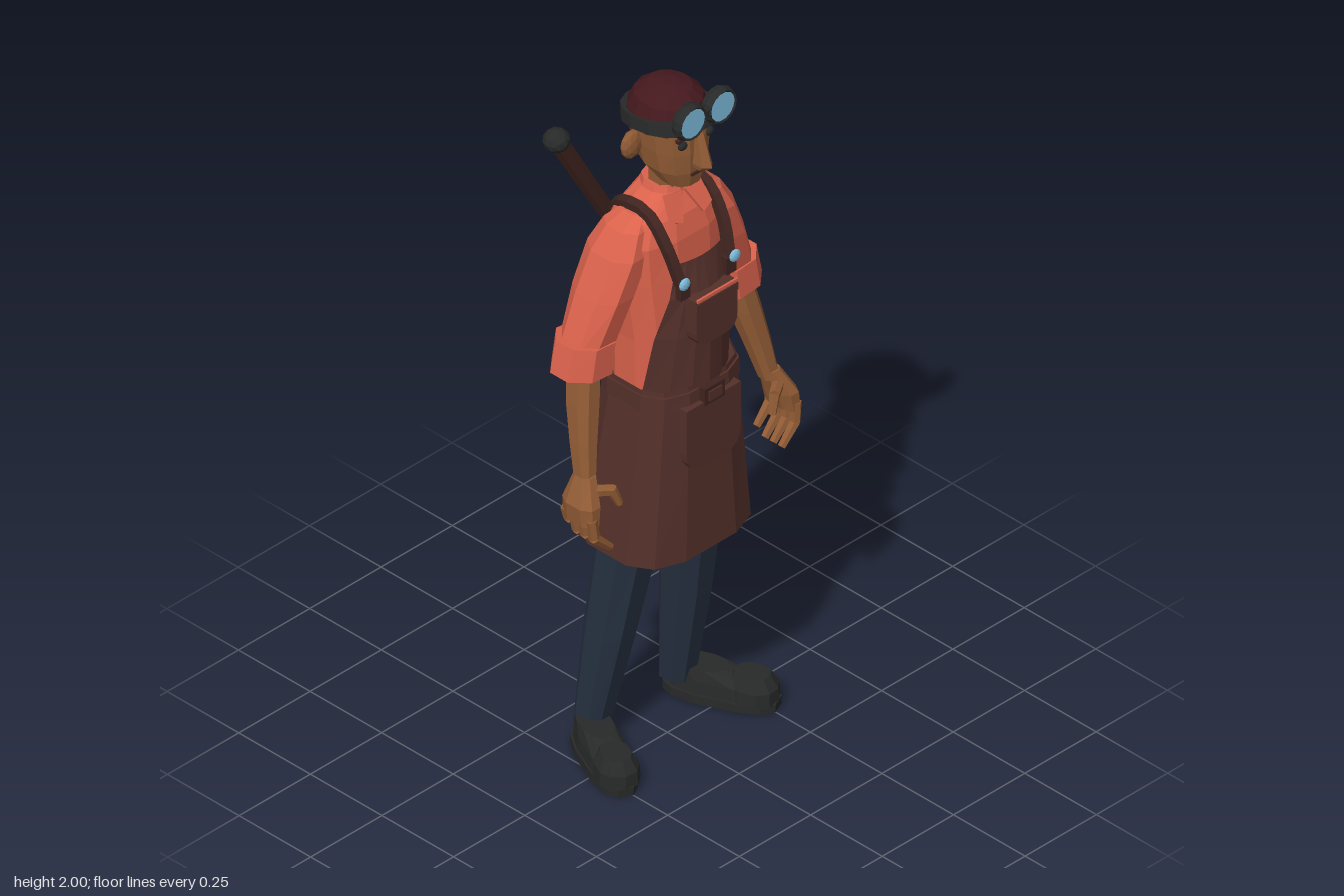
import * as THREE from 'three';

const mat = (name, color, side = THREE.FrontSide) => {
  const m = new THREE.MeshStandardMaterial({ color, side, flatShading: true });
  m.name = name;
  return m;
};

export function createModel() {
  const root = new THREE.Group();
  root.name = 'workman';
  const skin = mat('skin', 0x8f5a34);
  const shirt = mat('shirt coral', 0xda624c);
  const apron = mat('apron brown', 0x54302a, THREE.DoubleSide);
  const strapMat = mat('strap brown', 0x3f231f);
  const capMat = mat('cap maroon', 0x45191e);
  const black = mat('rubber black', 0x282929);
  const denim = mat('trouser navy', 0x263040);
  const glass = mat('glass blue', 0x7cbcdb);

  const add = (name, geo, material, parent = root) => {
    const m = new THREE.Mesh(geo, material);
    m.name = name;
    parent.add(m);
    return m;
  };
  const V = (x, y, z) => new THREE.Vector3(x, y, z);

  // Rings, lowest first: [y, centre x, centre z, half width, half depth]
  const loft = (rings, n = 10, pow = 0.85, caps = true) => {
    const pos = [], idx = [];
    const bend = (v) => Math.sign(v) * Math.pow(Math.abs(v), pow);
    for (const [y, cx, cz, rx, rz] of rings)
      for (let j = 0; j < n; j++) {
        const a = ((j + 0.5) / n) * Math.PI * 2;
        pos.push(cx + rx * bend(Math.cos(a)), y, cz + rz * bend(Math.sin(a)));
      }
    for (let i = 0; i < rings.length - 1; i++)
      for (let j = 0; j < n; j++) {
        const a = i * n + j, b = i * n + ((j + 1) % n);
        idx.push(a, a + n, b, b, a + n, b + n);
      }
    if (caps) {
      const last = rings.length - 1, c = pos.length / 3;
      for (const r of [rings[0], rings[last]]) pos.push(r[1], r[0], r[2]);
      for (let j = 0; j < n; j++) {
        const k = (j + 1) % n;
        idx.push(c, j, k, c + 1, last * n + k, last * n + j);
      }
    }
    const g = new THREE.BufferGeometry();
    g.setAttribute('position', new THREE.Float32BufferAttribute(pos, 3));
    g.setIndex(idx);
    g.computeVertexNormals();
    return g;
  };

  // Tapered round bar between two points
  const rod = (name, a, b, ra, rb, material, n = 6) => {
    const m = add(name, new THREE.CylinderGeometry(rb, ra, a.distanceTo(b), n), material);
    m.position.copy(a).lerp(b, 0.5);
    m.quaternion.setFromUnitVectors(V(0, 1, 0), b.clone().sub(a).normalize());
  };
  const box = (name, w, h, d, x, y, z, material) => {
    const m = add(name, new THREE.BoxGeometry(w, h, d), material);
    m.position.set(x, y, z);
    return m;
  };
  const ball = (name, r, x, y, z, sx, sy, sz, material) => {
    const m = add(name, new THREE.IcosahedronGeometry(r, 1), material);
    m.position.set(x, y, z);
    m.scale.set(sx, sy, sz);
  };

  // Head, neck, short hair and cap
  add('neck', loft([[1.62, 0, -0.01, 0.045, 0.045], [1.75, 0, 0, 0.045, 0.045]], 8), skin);
  add('head', loft([
    [1.715, 0, 0.042, 0.05, 0.055], [1.76, 0, 0.02, 0.075, 0.086], [1.82, 0, 0.01, 0.084, 0.1],
    [1.88, 0, 0.008, 0.088, 0.1], [1.92, 0, 0.005, 0.08, 0.09]], 12), skin);
  add('hair', loft([[1.785, 0, -0.04, 0.062, 0.05], [1.82, 0, -0.042, 0.07, 0.058],
    [1.89, 0, -0.042, 0.072, 0.062]], 10), apron);
  add('cap', loft([
    [1.865, 0, -0.01, 0.09, 0.1], [1.91, 0, 0, 0.096, 0.108], [1.95, 0, 0.005, 0.083, 0.093],
    [1.976, 0, 0.008, 0.054, 0.062], [1.987, 0, 0.01, 0.02, 0.025]], 14, 1), capMat);

  // Nose wedge, wider at its tip
  add('nose', loft([[1.775, 0, 0.11, 0.016, 0.028], [1.79, 0, 0.118, 0.02, 0.038],
    [1.885, 0, 0.1, 0.011, 0.025]], 6), skin);
  box('mouth', 0.045, 0.006, 0.008, 0, 1.757, 0.106, strapMat);

  // Goggles pushed up on the cap, seen through from behind
  const band = add('goggleBand', loft([[-0.02, 0, 0, 0.103, 0.128], [0.016, 0, 0, 0.1, 0.124]], 16, 0.85), black);
  band.position.set(0, 1.897, 0.002);
  band.rotation.x = -0.15;
  box('goggleBridge', 0.05, 0.025, 0.025, 0, 1.945, 0.128, black);

  for (const s of [-1, 1]) {
    const rim = add('goggleRim', new THREE.TorusGeometry(0.043, 0.009, 5, 14), black);
    rim.position.set(s * 0.052, 1.945, 0.128);
    rim.scale.z = 2;
    const lens = add('goggleLens', new THREE.CylinderGeometry(0.042, 0.042, 0.02, 12), glass);
    lens.position.set(s * 0.052, 1.945, 0.132);
    lens.rotation.x = Math.PI / 2;
    ball('ear', 0.042, s * 0.1, 1.825, -0.025, 0.85, 1, 0.45, skin);
    ball('eye', 0.015, s * 0.047, 1.853, 0.1, 1, 0.8, 0.6, black);
    const brow = box('eyebrow', 0.038, 0.009, 0.012, s * 0.048, 1.876, 0.1, strapMat);
    brow.rotation.z = -s * 0.15;
  }

  // Shirt body and collar
  add('shirtBody', loft([
    [1.08, 0, 0, 0.15, 0.115], [1.28, 0, 0, 0.155, 0.112], [1.45, 0, -0.01, 0.172, 0.11],
    [1.56, 0, -0.012, 0.178, 0.105], [1.62, 0, -0.012, 0.145, 0.09], [1.672, 0, -0.015, 0.06, 0.06]], 12), shirt);
  add('collarStand', loft([[1.64, 0, -0.012, 0.07, 0.07], [1.69, 0, -0.015, 0.053, 0.056]], 10, 1), shirt);
  for (const s of [-1, 1]) {
    const flap = new THREE.Shape([[0, 0], [0.055, 0.01], [0.065, -0.06], [0.03, -0.075]]
      .map(([x, y]) => new THREE.Vector2(s * x, y)));
    const m = add('collarFlap', new THREE.ExtrudeGeometry(flap, { depth: 0.01, bevelEnabled: false }), shirt);
    m.position.set(s * 0.006, 1.672, 0.048);
    m.rotation.x = -0.5;
  }

  // Arms
  for (const s of [-1, 1]) {
    add('sleeve', loft([
      [1.29, s * 0.243, -0.04, 0.07, 0.068], [1.43, s * 0.195, -0.03, 0.067, 0.083],
      [1.54, s * 0.15, -0.022, 0.065, 0.085], [1.605, s * 0.125, -0.016, 0.048, 0.065],
      [1.635, s * 0.1, -0.012, 0.025, 0.04]], 8), shirt);
    const cuff = add('cuff', loft([[-0.045, s * 0.006, 0, 0.087, 0.077], [0.045, 0, 0, 0.082, 0.077]], 8, 0.95), shirt);
    cuff.position.set(s * 0.25, 1.265, -0.04);
    cuff.rotation.z = s * 0.09;
    add('forearm', loft([
      [0.94, s * 0.322, 0.033, 0.026, 0.028], [1.05, s * 0.303, 0.008, 0.035, 0.036],
      [1.15, s * 0.282, -0.015, 0.043, 0.043], [1.25, s * 0.262, -0.032, 0.042, 0.044]], 8), skin);
    add('palm', loft([
      [0.85, s * 0.353, 0.05, 0.025, 0.056], [0.9, s * 0.348, 0.046, 0.033, 0.056],
      [0.965, s * 0.322, 0.033, 0.025, 0.03]], 8), skin);
    for (let i = 0; i < 4; i++) {
      const z = 0.004 + i * 0.029, drop = i === 0 ? 0.02 : 0;
      const a = V(s * 0.358, 0.87, z), b = V(s * 0.352, 0.815 + drop, z + 0.004), c = V(s * 0.3, 0.765 + drop, z + 0.008);
      rod('fingerBase', a, b, 0.016, 0.015, skin);
      rod('fingerTip', b, c, 0.015, 0.011, skin);
    }
    rod('thumbBase', V(s * 0.33, 0.93, 0.06), V(s * 0.285, 0.925, 0.09), 0.017, 0.015, skin);
    rod('thumbTip', V(s * 0.287, 0.93, 0.089), V(s * 0.268, 0.88, 0.1), 0.015, 0.01, skin);
  }

  // Trousers and shoes
  for (const s of [-1, 1]) {
    add('trouserLeg', loft([
      [0.05, s * 0.15, -0.115, 0.046, 0.047], [0.35, s * 0.133, -0.07, 0.059, 0.07],
      [0.64, s * 0.112, -0.025, 0.077, 0.08], [0.95, s * 0.085, 0, 0.08, 0.09]], 8), denim);
    const shoe = new THREE.Group();
    shoe.name = 'shoe';
    shoe.position.set(s * 0.207, 0, -0.015);
    shoe.rotation.y = s * 0.42;
    root.add(shoe);
    add('sole', loft([[0, 0, 0, 0.058, 0.153], [0.025, 0, 0, 0.058, 0.154]], 12, 0.75), black, shoe);
    add('shoeUpper', loft([[0.02, 0, 0, 0.054, 0.148], [0.06, 0, -0.005, 0.05, 0.138],
      [0.09, 0, -0.06, 0.042, 0.075]], 12, 0.8), black, shoe);
    add('toeCap', loft([[0.02, 0, 0.085, 0.057, 0.066], [0.06, 0, 0.085, 0.055, 0.064],
      [0.093, 0, 0.08, 0.038, 0.048]], 10), black, shoe);
  }

  // Apron skirt, open below, with a waistband that rises at the back
  const skirt = loft([
    [0.64, 0, -0.008, 0.211, 0.165], [0.9, 0, -0.002, 0.183, 0.153], [1.1, 0, 0.01, 0.161, 0.136],
    [1.15, 0, 0.008, 0.159, 0.133]], 12, 0.65, false);
  for (let i = 36, p = skirt.attributes.position; i < p.count; i++) if (p.getZ(i) < -0.05) p.setY(i, 1.215);
  add('apronSkirt', skirt, apron);

  // Bib, a curved sheet: rows of [y, half width, front z, sag]
  const bib = new THREE.PlaneGeometry(2, 1, 6, 3), rows = [
    [1.515, 0.08, 0.125, 0.015], [1.42, 0.105, 0.147, 0.035], [1.3, 0.135, 0.152, 0.065], [1.1, 0.157, 0.147, 0.09]];
  for (let i = 0, p = bib.attributes.position; i < p.count; i++) {
    const [y, w, z, sag] = rows[Math.floor(i / 7)], t = p.getX(i);
    p.setXYZ(i, t * w, y, z - sag * t * t);
  }
  add('apronBib', bib, apron);

  // Pockets with rounded bottoms
  const pocket = (name, w, h, d, y, z) => {
    const r = w * 0.6, sh = new THREE.Shape();
    sh.moveTo(-w, h).lineTo(-w, r).quadraticCurveTo(-w, 0, -w + r, 0);
    sh.lineTo(w - r, 0).quadraticCurveTo(w, 0, w, r).lineTo(w, h);
    const g = new THREE.ExtrudeGeometry(sh, { depth: d, bevelEnabled: false, curveSegments: 4 });
    add(name, g, apron).position.set(0, y, z);
  };
  pocket('chestPocket', 0.072, 0.14, 0.038, 1.285, 0.135);
  pocket('lowerPocket', 0.095, 0.19, 0.026, 0.91, 0.136);
  box('pocketTrim', 0.14, 0.009, 0.006, 0, 1.428, 0.174, shirt);
  box('pocketFlap', 0.145, 0.022, 0.01, 0, 1.408, 0.171, apron);

  // Belt and buckle
  add('belt', loft([[1.09, 0, 0.008, 0.166, 0.143], [1.135, 0, 0.008, 0.164, 0.14]], 12, 0.65), apron);
  box('buckle', 0.07, 0.05, 0.02, 0, 1.115, 0.156, strapMat);
  box('buckleInset', 0.045, 0.028, 0.006, 0, 1.115, 0.167, apron);

  // Shoulder straps meeting between the shoulder blades, with clips
  for (const s of [-1, 1]) {
    const path = new THREE.CatmullRomCurve3([
      V(s * 0.085, 1.47, 0.133), V(s * 0.098, 1.57, 0.096), V(s * 0.102, 1.645, 0.03), V(s * 0.1, 1.632, -0.065),
      V(s * 0.065, 1.52, -0.114), V(0, 1.38, -0.118)]);
    add('shoulderStrap', new THREE.TubeGeometry(path, 18, 0.018, 5), strapMat);
    ball('strapClip', 0.018, s * 0.088, 1.478, 0.148, 1, 1, 0.5, glass);
    box('strapTab', 0.034, 0.05, 0.02, s * 0.08, 1.452, 0.134, strapMat);
  }

  // Long tool slung diagonally across the back
  const top = V(-0.235, 1.835, -0.145), mid = V(0.0, 1.43, -0.147), low = V(0.14, 1.17, -0.145);
  rod('toolHandle', mid, top, 0.022, 0.026, strapMat, 8);
  rod('toolShaft', low, mid, 0.012, 0.016, strapMat);
  ball('toolKnob', 0.036, -0.243, 1.848, -0.145, 1, 0.9, 1, black);
  const holster = box('toolHolster', 0.045, 0.1, 0.045, 0.135, 1.135, -0.138, strapMat);
  holster.rotation.z = 0.3;

  return root;
}
